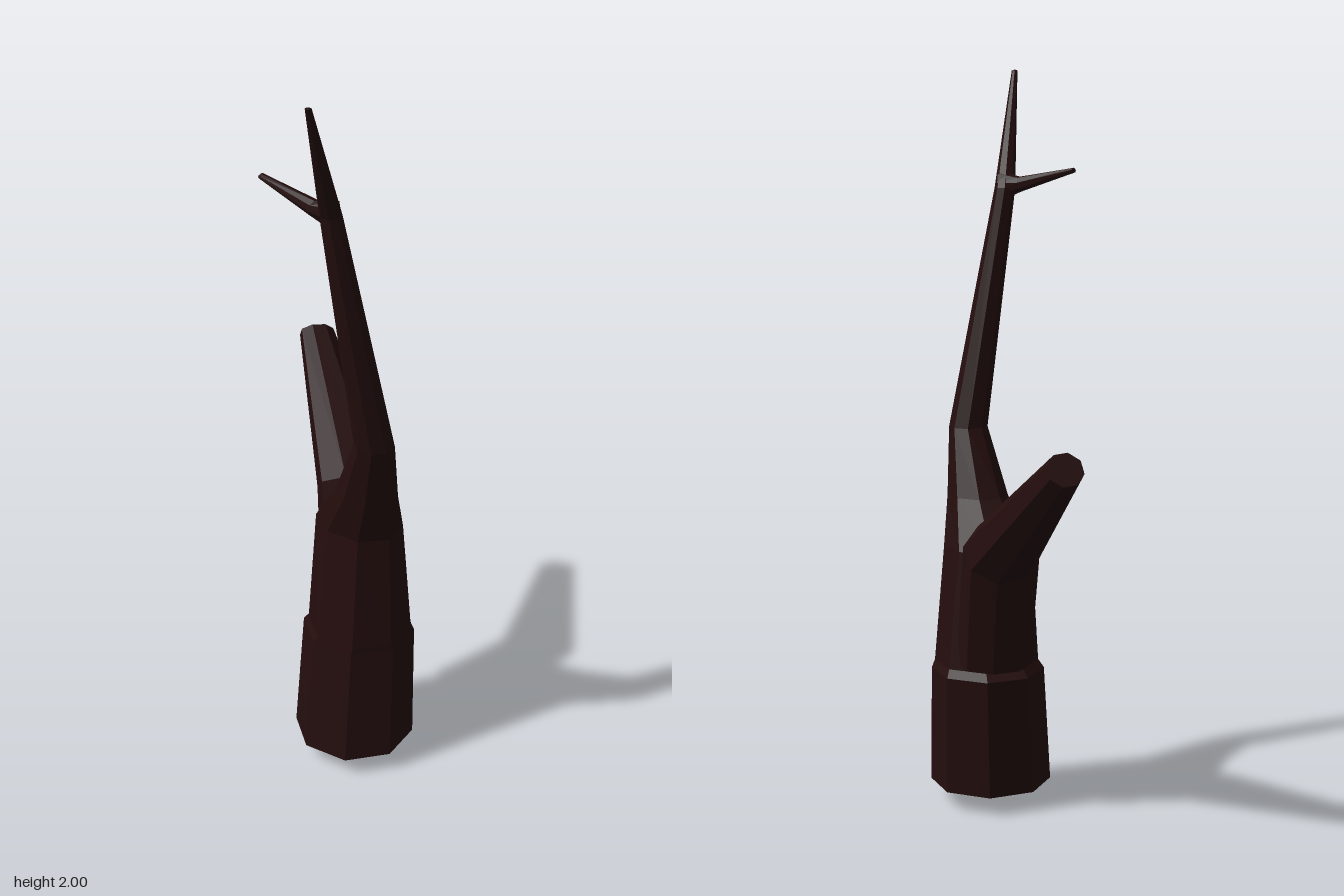
import * as THREE from 'three';

const SIDES = 8;

// Faceted limb through rings of [x, y, z, radiusX, radiusZ, normal]; start and end are cap centres.
function limb(name, rings, material, start, end) {
  const up = new THREE.Vector3(0, 1, 0);
  const loops = rings.map(([x, y, z, rx, rz, n = [0, 1, 0]]) => {
    const q = new THREE.Quaternion().setFromUnitVectors(up, new THREE.Vector3(...n).normalize());
    return Array.from({ length: SIDES }, (_, i) => {
      const a = 0.2 + (i / SIDES) * Math.PI * 2;
      return new THREE.Vector3(Math.cos(a) * rx, 0, Math.sin(a) * rz)
        .applyQuaternion(q).add(new THREE.Vector3(x, y, z));
    });
  });
  const points = [];
  const first = loops[0], last = loops[loops.length - 1];
  const bottom = new THREE.Vector3(...(start || rings[0].slice(0, 3)));
  const top = new THREE.Vector3(...(end || rings[rings.length - 1].slice(0, 3)));
  for (let i = 0; i < SIDES; i++) {
    const j = (i + 1) % SIDES;
    for (let k = 0; k < loops.length - 1; k++) {
      const a = loops[k], b = loops[k + 1];
      points.push(a[i], b[i], b[j], a[i], b[j], a[j]);
    }
    points.push(bottom, first[i], first[j], top, last[j], last[i]);
  }
  // Unshared corners give flat facets
  const geometry = new THREE.BufferGeometry().setFromPoints(points);
  geometry.computeVertexNormals();
  const mesh = new THREE.Mesh(geometry, material);
  mesh.name = name;
  return mesh;
}

export function createModel() {
  const group = new THREE.Group();
  group.name = 'deadTree';
  const bark = new THREE.MeshStandardMaterial({ color: 0x240d0d });
  bark.name = 'darkBark';

  // Trunk with a shallow ledge, narrowing into the tall leading branch
  group.add(limb('trunk', [
    [-0.02, 0.052, 0.162, 0.166, 0.166],
    [0.005, 0.38, 0.153, 0.152, 0.155],
    [-0.002, 0.4, 0.162, 0.14, 0.143],
    [0.0, 0.72, 0.155, 0.102, 0.127],
    [-0.04, 0.85, 0.215, 0.074, 0.087],
    [-0.08, 1.03, 0.273, 0.053, 0.053],
    [-0.193, 1.68, 0.225, 0.029, 0.028],
    [-0.337, 1.997, 0.288, 0.008, 0.008],
  ], bark, [-0.03, 0, 0.21], [-0.338, 2, 0.288]));

  // Thick broken branch leaning back
  group.add(limb('brokenBranch', [
    [0.055, 0.41, 0.1, 0.1, 0.1],
    [0.112, 0.74, 0.035, 0.108, 0.1, [0.4, 0.75, -0.5]],
    [0.302, 1.025, -0.283, 0.05, 0.048, [0.5, 0.6, -0.62]],
  ], bark));

  // Small twig near the top
  group.add(limb('twig', [
    [-0.193, 1.685, 0.235, 0.022, 0.04, [0, 0.15, -1]],
    [-0.203, 1.69, 0.18, 0.02, 0.021, [0, 0.2, -1]],
    [-0.215, 1.73, 0.017, 0.01, 0.007, [0, 0.2, -1]],
  ], bark));

  return group;
}
